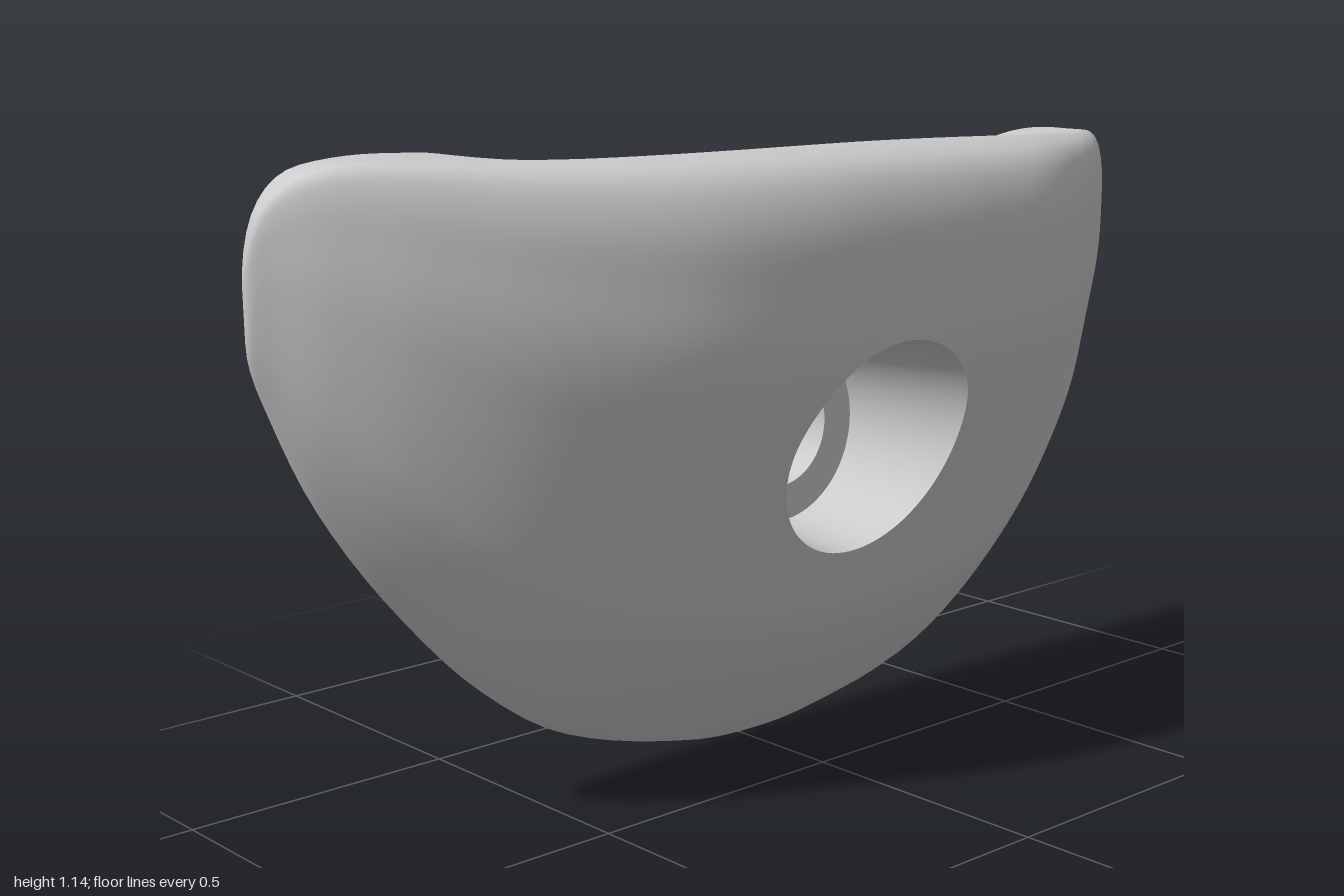
import * as THREE from 'three';

const BACK = -0.23, SEAT = -0.1;             // depth of the flat back and of the bolt seat
const HOLE = { x: -0.01, y: 0.615, outer: 0.198, seat: 0.175, inner: 0.11 };

const toS = x => Math.asin(x) * 2 / Math.PI; // spreads columns out towards the two ends
const toX = s => Math.sin(s * Math.PI / 2);

// Smooth interpolation through [x, value] pairs
function smooth(pairs) {
  const p = pairs.map(([x, v]) => [toS(x), v]);
  const slope = i => {
    const a = p[Math.max(i - 1, 0)], b = p[Math.min(i + 1, p.length - 1)];
    return (b[1] - a[1]) / (b[0] - a[0]);
  };
  return s => {
    let i = 0;
    while (i < p.length - 2 && s > p[i + 1][0]) i++;
    const h = p[i + 1][0] - p[i][0], t = (s - p[i][0]) / h, t2 = t * t, t3 = t2 * t;
    return p[i][1] * (2 * t3 - 3 * t2 + 1) + p[i + 1][1] * (3 * t2 - 2 * t3)
      + h * (slope(i) * (t3 - 2 * t2 + t) + slope(i + 1) * (t3 - t2));
  };
}

// Lower edge, front lip, rear top edge and greatest depth along the width
const bottom = smooth([[-1, 0.87], [-0.97, 0.755], [-0.9, 0.6], [-0.75, 0.385], [-0.6, 0.225], [-0.42, 0.1],
  [-0.12, 0.013], [0.06, 0], [0.2, 0.013], [0.385, 0.055], [0.57, 0.17], [0.73, 0.32], [0.87, 0.475],
  [0.965, 0.645], [1, 0.79]]);
const lip = smooth([[-1, 0.95], [-0.98, 1.06], [-0.93, 1.12], [-0.85, 1.143], [-0.6, 1.137], [0, 1.137],
  [0.4, 1.125], [0.7, 1.108], [0.85, 1.1], [0.93, 1.08], [0.98, 1.03], [1, 0.92]]);
const rearTop = smooth([[-1, 0.95], [-0.98, 1.06], [-0.93, 1.12], [-0.85, 1.14], [-0.72, 1.142], [-0.6, 1.125],
  [-0.46, 1.035], [-0.2, 1.02], [0.25, 1.02], [0.5, 1.025], [0.7, 1.09], [0.85, 1.1], [0.93, 1.08], [0.98, 1.03], [1, 0.92]]);
const front = smooth([[-1, BACK], [-0.97, -0.188], [-0.9, -0.115], [-0.8, -0.03], [-0.6, 0.095], [-0.4, 0.18],
  [-0.2, 0.22], [0, 0.23], [0.2, 0.227], [0.4, 0.2], [0.6, 0.1], [0.8, -0.035], [0.9, -0.125], [0.97, -0.195], [1, BACK]]);

// Column section: depth share, height share, and drop from lip to rear edge
const section = new THREE.CatmullRomCurve3([
  [0, 0, 0], [0.2, 0.068, 0], [0.41, 0.165, 0], [0.54, 0.24, 0], [0.625, 0.32, 0], [0.72, 0.42, 0],
  [0.83, 0.53, 0], [0.93, 0.625, 0], [0.985, 0.71, 0], [1, 0.8, 0], [1, 0.88, 0], [0.96, 0.94, 0],
  [0.89, 0.977, 0], [0.78, 0.996, 0], [0.68, 1, 0], [0.54, 1, 0.17], [0.35, 1, 0.55], [0.15, 1, 0.88], [0, 1, 1],
].map(a => new THREE.Vector3(...a)), false, 'catmullrom', 0.5);

function surface(s, v) {
  const q = section.getPoint(v), low = bottom(s), top = lip(s), x = toX(s);
  const y = low + (top - low) * q.y + (rearTop(s) - top) * q.z;
  // Lower flank grows rounder towards the two ends
  const h = Math.max(0, 1 - q.y / 0.8);
  const round = Math.sqrt(Math.max(0, 1 - h * h));
  const depth = h > 0 ? THREE.MathUtils.lerp(q.x, round, 0.6 * x * x) : q.x;
  return new THREE.Vector3(x, y, BACK + (front(s) - BACK) * depth);
}

// Section parameter at which the front face reaches height y
function findV(s, y) {
  let a = 0, b = 0.7;
  for (let i = 0; i < 30; i++) {
    const m = (a + b) / 2;
    if (surface(s, m).y < y) a = m; else b = m;
  }
  return (a + b) / 2;
}

// Skin between closed rings of points
function skin(rings) {
  const n = rings[0].length, index = [];
  for (let j = 0; j < rings.length - 1; j++) {
    for (let i = 0; i < n; i++) {
      const k = (i + 1) % n, a = j * n + i, b = a + n, c = j * n + n + k, d = j * n + k;
      index.push(a, b, c, a, c, d);
    }
  }
  const g = new THREE.BufferGeometry().setFromPoints(rings.flat());
  g.setIndex(index);
  g.computeVertexNormals();
  return g;
}

export function createModel() {
  const group = new THREE.Group();
  const material = new THREE.MeshStandardMaterial({ color: 0xcccccc });
  const add = (name, geometry) => {
    const mesh = new THREE.Mesh(geometry, material);
    mesh.name = name;
    group.add(mesh);
  };

  // Border of the curved face, anticlockwise in section coordinates
  const border = [], wide = 60, tall = 36;
  for (let i = 0; i < wide; i++) border.push([-1 + 2 * i / wide, 0]);
  for (let i = 0; i < tall; i++) border.push([1, i / tall]);
  for (let i = 0; i < wide; i++) border.push([1 - 2 * i / wide, 1]);
  for (let i = 0; i < tall; i++) border.push([-1, 1 - i / tall]);

  // Bolt hole rim, one point facing each border point
  const s0 = toS(HOLE.x), v0 = findV(s0, HOLE.y);
  const angles = border.map(([s, v]) => Math.atan2((v - v0) * 1.3, s - s0));
  const circle = (r, z) => angles.map(a =>
    new THREE.Vector3(HOLE.x + r * Math.cos(a), HOLE.y + r * Math.sin(a), z));
  const rim = circle(HOLE.outer, 0).map(p => [toS(p.x), findV(toS(p.x), p.y)]);

  // Curved body from the hole rim out to the back edge
  const rings = [], steps = 44;
  for (let j = 0; j <= steps; j++) {
    const t = j / steps;
    rings.push(border.map(([s, v], i) =>
      surface(rim[i][0] + (s - rim[i][0]) * t, rim[i][1] + (v - rim[i][1]) * t)));
  }
  add('body', skin(rings));

  // Stepped bolt hole with a slightly tapered recess
  add('recessWall', skin([circle(HOLE.seat, SEAT), rings[0]]));
  add('boltSeat', skin([circle(HOLE.inner, SEAT), circle(HOLE.seat, SEAT)]));
  add('boltBore', skin([circle(HOLE.inner, BACK), circle(HOLE.inner, SEAT)]));

  // Flat back, drawn mirrored and then turned to face the rear
  const shape = new THREE.Shape(rings[steps].map(p => new THREE.Vector2(-p.x, p.y)));
  const hole = new THREE.Path();
  hole.absarc(-HOLE.x, HOLE.y, HOLE.inner, 0, Math.PI * 2, true);
  shape.holes.push(hole);
  const back = new THREE.ShapeGeometry(shape, 32);
  back.rotateY(Math.PI).translate(0, 0, BACK);
  add('backFace', back);

  return group;
}
